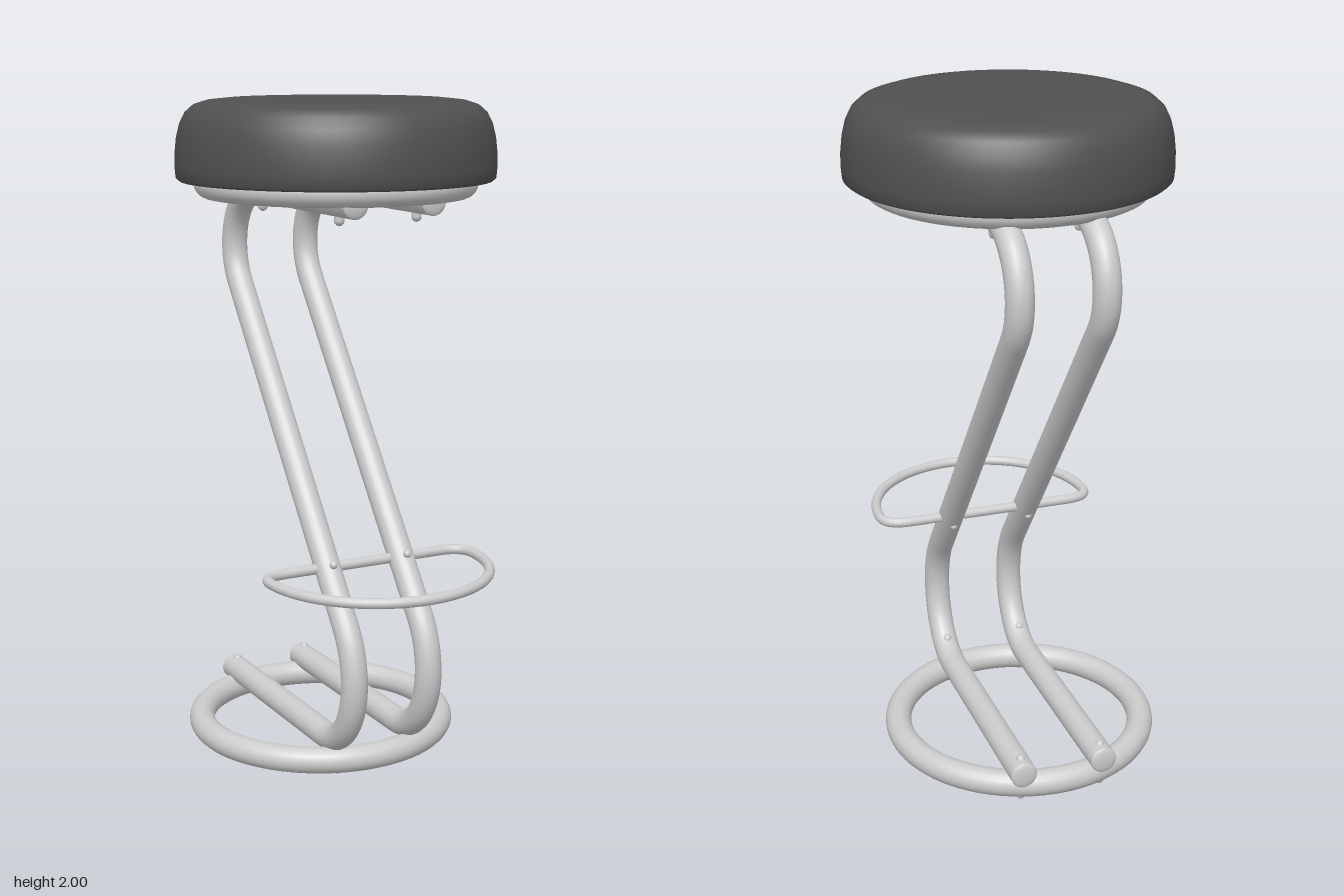
import * as THREE from 'three';

const grey = new THREE.MeshStandardMaterial({ color: 0xcccccc });
const dark = new THREE.MeshStandardMaterial({ color: 0x505050 });

function add(parent, name, geometry, material = grey) {
  const mesh = new THREE.Mesh(geometry, material);
  mesh.name = name;
  parent.add(mesh);
  return mesh;
}

// Horizontal ring of round tube
function ring(parent, name, y, z) {
  const mesh = add(parent, name, new THREE.TorusGeometry(0.38, 0.04, 20, 80));
  mesh.rotation.x = Math.PI / 2;
  mesh.position.set(0, y, z);
}

// Dome-ended bolt between two points
function bolt(parent, name, from, to, radius) {
  const a = new THREE.Vector3(...from), b = new THREE.Vector3(...to);
  const dir = b.clone().sub(a);
  const length = dir.length();
  const mesh = add(parent, name, new THREE.CapsuleGeometry(radius, length - 2 * radius, 5, 14));
  mesh.position.copy(a).add(b).multiplyScalar(0.5);
  mesh.quaternion.setFromUnitVectors(new THREE.Vector3(0, 1, 0), dir.normalize());
}

// Side profile of one leg, drawn in (z, y)
function legCurve() {
  const slope = 0.658; // angle at which the bends meet the diagonal
  const p = new THREE.Path();
  p.moveTo(0.322, 1.717);
  p.lineTo(-0.307, 1.717);
  p.absarc(-0.307, 1.53, 0.187, Math.PI / 2, Math.PI + slope, false);
  p.absarc(0.05, 0.317, 0.27, slope, 0, true);
  p.absellipse(0.135, 0.317, 0.185, 0.219, 0, -Math.PI / 2, true);
  p.lineTo(-0.547, 0.098);
  const pts = p.getSpacedPoints(110).map((q) => new THREE.Vector3(0, q.y, q.x));
  return new THREE.CatmullRomCurve3(pts);
}

export function createModel() {
  const model = new THREE.Group();
  model.name = 'barStool';

  // Padded round seat with a shallow recess underneath
  const profile = [
    [0, 1.782], [0.425, 1.782], [0.432, 1.765], [0.462, 1.76], [0.472, 1.768],
    [0.475, 1.8], [0.474, 1.84], [0.469, 1.885], [0.459, 1.925], [0.443, 1.957],
    [0.418, 1.979], [0.38, 1.991], [0.32, 1.997], [0.2, 2], [0, 2],
  ].map(([x, y]) => new THREE.Vector2(x, y));
  add(model, 'seatCushion', new THREE.LatheGeometry(profile, 80), dark).position.z = -0.035;

  ring(model, 'seatRing', 1.75, -0.035);
  ring(model, 'baseRing', 0.045, -0.145);

  // Two bent legs with closed ends and their bolts
  const curve = legCurve();
  for (const [side, x] of [['left', 0.125], ['right', -0.125]]) {
    const leg = new THREE.Group();
    leg.name = side + 'Leg';
    leg.position.x = x;
    model.add(leg);
    add(leg, 'legTube', new THREE.TubeGeometry(curve, 180, 0.04, 20, false));
    for (const [y, z] of [[1.717, 0.322], [0.098, -0.547]]) {
      const cap = add(leg, 'endCap', new THREE.SphereGeometry(0.04, 20, 12));
      cap.scale.z = 0.25;
      cap.position.set(0, y, z);
    }
    for (const z of [0.225, -0.28]) bolt(leg, 'seatBolt', [0, 1.652, z], [0, 1.79, z], 0.015);
    bolt(leg, 'baseBolt', [0, 0, 0.21], [0, 0.17, 0.21], 0.014);
    bolt(leg, 'baseBolt', [0, 0, -0.515], [0, 0.147, -0.515], 0.014);
    bolt(leg, 'footrestBolt', [0, 0.594, 0.118], [0, 0.657, 0.198], 0.012);
  }

  // D-shaped footrest: half circle in front, straight bar through the legs
  const d = new THREE.Path();
  d.moveTo(0, 0.145);
  d.lineTo(0.26, 0.145);
  d.bezierCurveTo(0.32, 0.145, 0.342, 0.17, 0.342, 0.21);
  d.absarc(0, 0.21, 0.342, 0, Math.PI, false);
  d.bezierCurveTo(-0.342, 0.17, -0.32, 0.145, -0.26, 0.145);
  d.lineTo(0, 0.145);
  const loop = d.getSpacedPoints(90).slice(0, -1).map((q) => new THREE.Vector3(q.x, 0.63, q.y));
  add(model, 'footrest', new THREE.TubeGeometry(new THREE.CatmullRomCurve3(loop, true), 160, 0.0155, 14, true));

  return model;
}
